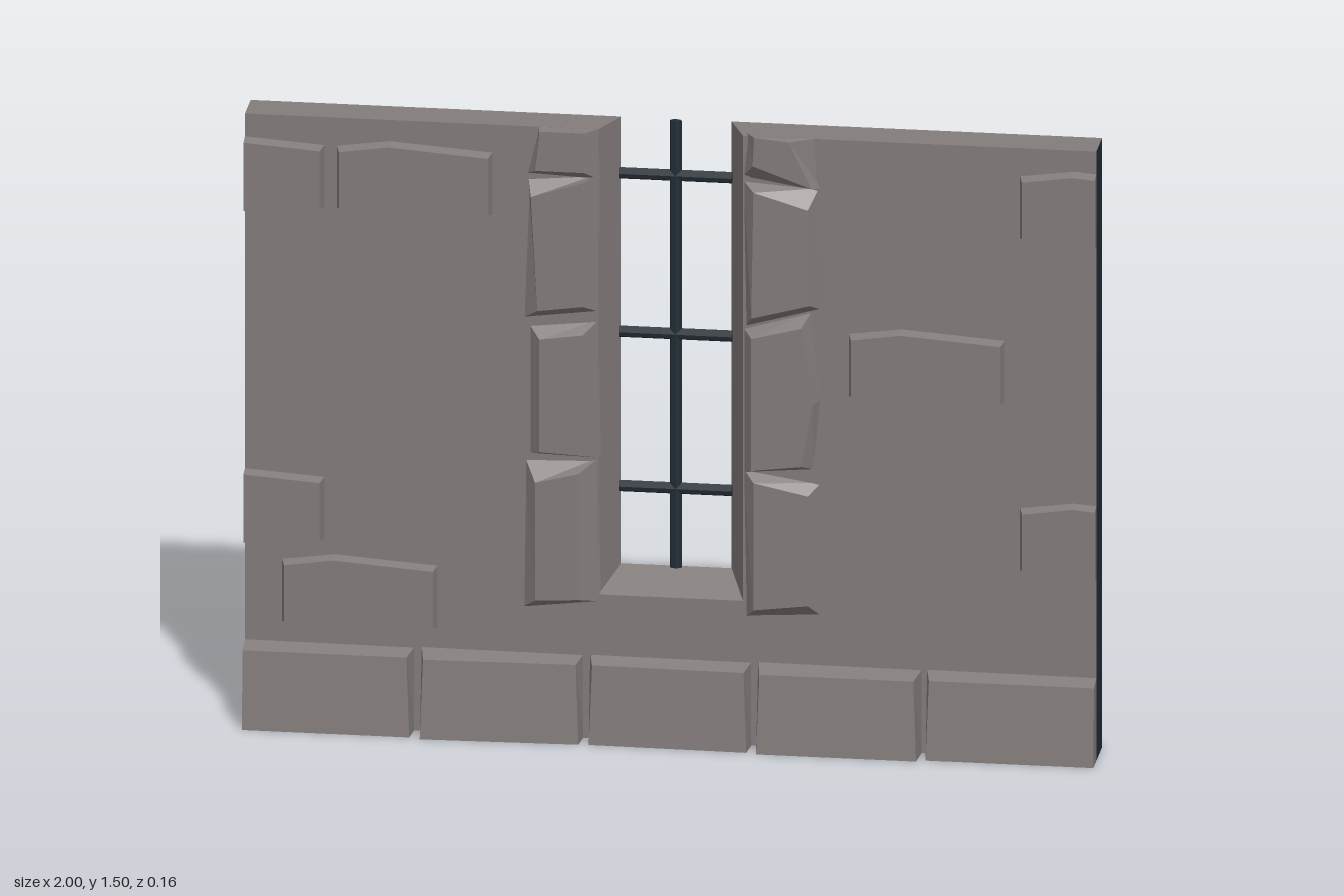
import * as THREE from 'three';

const stone = new THREE.MeshStandardMaterial({ color: 0x827c7a });
stone.name = 'warm grey stone';
const dark = new THREE.MeshStandardMaterial({ color: 0x222c35 });
dark.name = 'dark slate';

const BACK = -0.08, FACE = 0.018;

// Flat faced mesh from convex polygons, each listed counter-clockwise from outside
function faces(name, polygons, material) {
  const pos = [];
  for (const p of polygons)
    for (let i = 1; i < p.length - 1; i++) pos.push(...p[0], ...p[i], ...p[i + 1]);
  const g = new THREE.BufferGeometry();
  g.setAttribute('position', new THREE.Float32BufferAttribute(pos, 3));
  g.computeVertexNormals();
  const m = new THREE.Mesh(g, material);
  m.name = name;
  return m;
}

// Bevelled stone: base outline on the wall joined to a smaller front outline.
// Points run clockwise as seen from the front; front points may carry their own z.
function block(name, base, front, z) {
  const b = base.map(([x, y]) => [x, y, FACE - 0.004]).reverse();
  const f = front.map(([x, y, pz]) => [x, y, pz ?? z]).reverse();
  const polys = [f, [...b].reverse()];
  b.forEach((p, i) => {
    const j = (i + 1) % b.length;
    polys.push([p, b[j], f[j], f[i]]);
  });
  return faces(name, polys, stone);
}

function buildWall() {
  const g = new THREE.Group();
  g.name = 'wall';
  const H = 1.5;
  const rect = (x0, y0, x1, y1, z) => [[x0, y0, z], [x1, y0, z], [x1, y1, z], [x0, y1, z]];
  // Slab outline around an opening of half width w and sill height s
  const ring = (w, s, z) => [
    rect(-1, 0, -w, H, z), rect(w, 0, 1, H, z), rect(-w, 0, w, s, z),
  ];
  const wf = 0.17, sf = 0.355, wb = 0.13, sb = 0.4;
  g.add(faces('wallFace', ring(wf, sf, FACE), stone));
  g.add(faces('wallBack', ring(wb, sb, BACK).map((p) => p.reverse()), dark));
  g.add(faces('wallEnds', [
    [[1, 0, FACE], [1, 0, BACK], [1, H, BACK], [1, H, FACE]],
    [[-1, 0, BACK], [-1, 0, FACE], [-1, H, FACE], [-1, H, BACK]],
    [[-1, 0, BACK], [1, 0, BACK], [1, 0, FACE], [-1, 0, FACE]],
  ], dark));
  g.add(faces('wallTop', [
    [[-1, H, FACE], [-wf, H, FACE], [-wb, H, BACK], [-1, H, BACK]],
    [[wf, H, FACE], [1, H, FACE], [1, H, BACK], [wb, H, BACK]],
  ], stone));
  // Splayed sides and sill of the window
  g.add(faces('windowReveal', [
    [[-wf, sf, FACE], [-wb, sb, BACK], [-wb, H, BACK], [-wf, H, FACE]],
    [[wb, sb, BACK], [wf, sf, FACE], [wf, H, FACE], [wb, H, BACK]],
    [[-wf, sf, FACE], [wf, sf, FACE], [wb, sb, BACK], [-wb, sb, BACK]],
  ], stone));
  return g;
}

function buildFaceStones() {
  const g = new THREE.Group();
  g.name = 'faceStones';
  const whole = [[0, 0.175], [0.125, 0.192], [0.368, 0.175], [0.368, 0.02], [0.125, 0], [0, 0.02]];
  // Halves of a stone cut off by the wall ends
  const leftHalf = [[0, 0.175], [0.125, 0.192], [0.18, 0.188], [0.18, 0.004], [0.125, 0], [0, 0.02]];
  const rightHalf = [[0.18, 0.188], [0.368, 0.175], [0.368, 0.02], [0.18, 0.004]];
  const place = (outline, x, y) => {
    const base = outline.map(([px, py]) => [px + x, py + y]);
    const xs = base.map((p) => p[0]);
    const lo = Math.min(...xs), hi = Math.max(...xs);
    const front = base.map(([px, py]) => {
      let nx = px;
      if (px === lo && lo > -0.99) nx += 0.009;
      if (px === hi && hi < 0.99) nx -= 0.009;
      return [nx, py + (py > y + 0.095 ? -0.008 : 0.008)];
    });
    g.add(block('faceStone', base, front, 0.044));
  };
  place(whole, -0.785, 1.257);
  place(whole, 0.418, 0.85);
  place(whole, -0.914, 0.234);
  for (const y of [1.257, 0.44]) {
    place(leftHalf, 0.82, y);
    place(rightHalf, -1.18, y);
  }
  return g;
}

function buildWindowStones() {
  const g = new THREE.Group();
  g.name = 'windowStones';
  // [base outline, front outline] from the top down
  const left = [
    [[[-0.31, 1.5], [-0.17, 1.5], [-0.167, 1.375], [-0.338, 1.383]],
      [[-0.305, 1.497], [-0.2, 1.497], [-0.2, 1.4], [-0.315, 1.4]]],
    [[[-0.335, 1.375], [-0.167, 1.39], [-0.17, 1.05], [-0.348, 1.027]],
      [[-0.325, 1.335], [-0.203, 1.375], [-0.203, 1.07], [-0.31, 1.055]]],
    [[[-0.333, 1.012], [-0.17, 1.03], [-0.165, 0.69], [-0.333, 0.695]],
      [[-0.305, 0.985], [-0.203, 1], [-0.198, 0.703], [-0.305, 0.708]]],
    [[[-0.343, 0.685], [-0.17, 0.69], [-0.165, 0.337], [-0.348, 0.315]],
      [[-0.315, 0.632], [-0.213, 0.658], [-0.213, 0.348], [-0.315, 0.342]]],
  ];
  const right = [
    [[[0.18, 1.505], [0.345, 1.5], [0.353, 1.38], [0.17, 1.4]],
      [[0.2, 1.505], [0.28, 1.498], [0.335, 1.385], [0.196, 1.435]]],
    [[[0.17, 1.39], [0.348, 1.378], [0.353, 1.08], [0.176, 1.03]],
      [[0.198, 1.37], [0.326, 1.332], [0.33, 1.097], [0.193, 1.06]]],
    [[[0.17, 1.027], [0.332, 1.075], [0.353, 0.855], [0.337, 0.685], [0.17, 0.67]],
      [[0.193, 1.01], [0.31, 1.04], [0.337, 0.855], [0.31, 0.7], [0.193, 0.685]]],
    [[[0.17, 0.68], [0.353, 0.652], [0.353, 0.326], [0.176, 0.315]],
      [[0.198, 0.655], [0.326, 0.628], [0.326, 0.358], [0.198, 0.342]]],
  ];
  for (const [b, f] of [...left, ...right]) g.add(block('windowStone', b, f, 0.045));
  return g;
}

function buildBaseStones() {
  const g = new THREE.Group();
  g.name = 'baseStones';
  // left x, right x, depth at left, depth at right
  const row = [
    [-1, -0.602, 0.07, 0.07], [-0.585, -0.205, 0.08, 0.068], [-0.19, 0.19, 0.066, 0.072],
    [0.205, 0.59, 0.08, 0.08], [0.602, 1, 0.07, 0.07],
  ];
  row.forEach(([x0, x1, z0, z1], i) => {
    const a = i === 0 ? 0 : 0.01, b = i === 4 ? 0 : 0.013;
    g.add(block('baseStone',
      [[x0, 0.207], [x1, 0.205], [x1, 0], [x0, 0]],
      [[x0 + a, 0.192, z0 - 0.012], [x1 - b, 0.192, z1 - 0.012],
        [x1 - b * 0.4, 0, z1], [x0 + a * 0.4, 0, z0]]));
  });
  return g;
}

function buildBars() {
  const g = new THREE.Group();
  g.name = 'windowBars';
  const bar = (name, length, y, turn) => {
    const geo = new THREE.CylinderGeometry(0.014, 0.014, length, 8).toNonIndexed();
    geo.computeVertexNormals();
    geo.rotateZ(turn);
    geo.scale(1, 1, 0.65);
    const m = new THREE.Mesh(geo, dark);
    m.name = name;
    m.position.set(0, y, -0.07);
    g.add(m);
  };
  bar('uprightBar', 1.1, 0.95, 0);
  for (const y of [0.595, 0.975, 1.365]) bar('crossBar', 0.265, y, Math.PI / 2);
  return g;
}

export function createModel() {
  const model = new THREE.Group();
  model.name = 'stoneWallWithWindow';
  model.add(buildWall(), buildFaceStones(), buildWindowStones(), buildBaseStones(), buildBars());
  return model;
}
